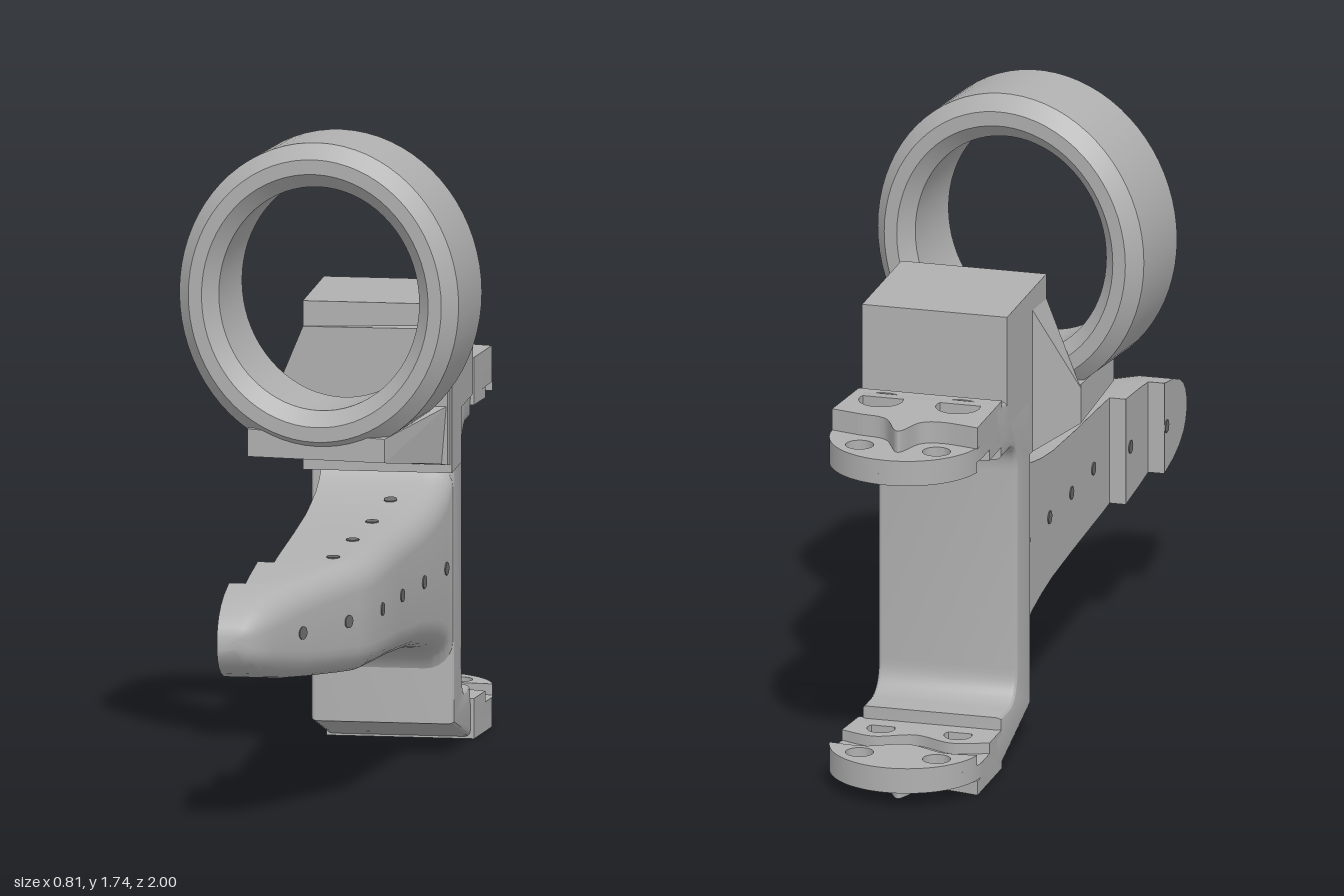
import * as THREE from 'three';
import { toCreasedNormals } from 'three/addons/utils/BufferGeometryUtils.js';
import { ConvexGeometry } from 'three/addons/geometries/ConvexGeometry.js';

const grey = new THREE.MeshStandardMaterial({ color: 0xb0b0b0 });
grey.name = 'plastic grey';
const dark = new THREE.MeshStandardMaterial({ color: 0x6c6c6c });
dark.name = 'hole grey';

const V = (x, y, z) => new THREE.Vector3(x, y, z);
const P = (x, y) => new THREE.Vector2(x, y);

function add(parent, name, geometry, material = grey) {
  const mesh = new THREE.Mesh(geometry, material);
  mesh.name = name;
  parent.add(mesh);
  return mesh;
}

function box(parent, name, x0, x1, y0, y1, z0, z1) {
  const g = new THREE.BoxGeometry(x1 - x0, y1 - y0, z1 - z0);
  g.translate((x0 + x1) / 2, (y0 + y1) / 2, (z0 + z1) / 2);
  add(parent, name, g);
}

const hull = (points) => new ConvexGeometry(points.map((p) => V(...p)));

// Chamfered oval ring, turned slightly about the vertical
function buildRing(group) {
  const profile = [[0.425, -0.11], [0.425, 0.11], [0.385, 0.15], [0.345, 0.15], [0.305, 0.11],
    [0.305, -0.11], [0.345, -0.15], [0.385, -0.15], [0.425, -0.11]].map((p) => P(...p));
  let g = new THREE.LatheGeometry(profile, 72);
  g.rotateX(Math.PI / 2);
  g.scale(0.92, 1, 1);
  g = toCreasedNormals(g, 0.5);
  const ring = add(group, 'ring', g);
  ring.position.y = 1.315;
  ring.rotation.y = -0.14;
}

// Block behind the ring, with the wedge and saddle that carry it
function buildMount(group) {
  box(group, 'mountBlock', -0.1, 0.305, 0.95, 1.26, -0.55, -0.165);
  box(group, 'mountBlockLower', -0.1, 0.305, 0.8, 0.95, -0.34, -0.165);
  add(group, 'mountWedge', hull([
    [-0.2, 0.85, -0.178], [-0.2, 0.95, -0.178], [-0.1, 1.19, -0.164],
    [0.3, 0.83, -0.12], [0.3, 1.2, -0.12],
    [-0.1, 0.8, -0.3], [-0.1, 1.2, -0.3], [0.3, 0.8, -0.3], [0.3, 1.2, -0.3]]));
  add(group, 'ringSaddle', hull([
    [-0.21, 0.88, 0.11], [-0.21, 0.955, 0.11], [0.17, 0.88, 0.16], [0.17, 0.945, 0.16],
    [-0.2, 0.85, -0.178], [-0.2, 0.96, -0.178], [0.3, 0.825, -0.165], [0.3, 0.99, -0.13]]));
}

// C-shaped upright, drawn from the side (u = -z) and extruded across
function buildFrame(group) {
  const s = new THREE.Shape();
  s.moveTo(0.33, 1.02);
  s.lineTo(0.31, 0.8);
  s.lineTo(0.31, 0.09);
  s.lineTo(0.62, 0);
  s.lineTo(0.66, 0);
  s.lineTo(0.66, 0.11);
  s.lineTo(0.61, 0.11);
  s.lineTo(0.61, 0.145);
  s.lineTo(0.53, 0.145);
  s.quadraticCurveTo(0.45, 0.145, 0.45, 0.23);
  s.lineTo(0.45, 0.79);
  s.quadraticCurveTo(0.45, 0.875, 0.53, 0.875);
  s.lineTo(0.61, 0.875);
  s.lineTo(0.61, 0.91);
  s.lineTo(0.66, 0.91);
  s.lineTo(0.66, 1.04);
  s.lineTo(0.63, 1.04);
  s.lineTo(0.55, 1.02);
  let g = new THREE.ExtrudeGeometry(s, {
    depth: 0.36, curveSegments: 10, bevelThickness: 0.015, bevelSize: 0.015, bevelOffset: -0.015, bevelSegments: 3,
  });
  g.rotateY(Math.PI / 2);
  g.translate(-0.085, 0, 0);
  g = toCreasedNormals(g, 0.5);
  add(group, 'uprightFrame', g);
}

// Layered plate outlines in (x, -z)
const CX = 0.11, CU = 0.79, CR = 0.21;
const FRONT_HOLES = [[0, 0.68], [0.215, 0.68]];
const REAR_HOLES = [[0, 0.89], [0.215, 0.89]];

function drill(shape, holes, r) {
  for (const [x, u] of holes) shape.holes.push(new THREE.Path().absarc(x, u, r, 0, Math.PI * 2, true));
  return shape;
}

function fullOutline() {
  const s = new THREE.Shape();
  s.moveTo(-0.1, 0.6);
  s.lineTo(0.3, 0.6);
  s.lineTo(CX + CR, CU);
  s.absarc(CX, CU, CR, 0, Math.PI, false);
  return drill(drill(s, FRONT_HOLES, 0.038), REAR_HOLES, 0.038);
}

function frontOutline(wave, holeRadius) {
  const s = new THREE.Shape();
  s.moveTo(-0.1, 0.6);
  s.lineTo(0.3, 0.6);
  s.lineTo(...wave[0]);
  s.splineThru(wave.slice(1).map((p) => P(...p)));
  return drill(s, FRONT_HOLES, holeRadius);
}

function rearOutline() {
  const s = new THREE.Shape();
  const a = 0.19;
  s.absarc(CX, CU, CR, a, Math.PI - a, false);
  s.splineThru([P(0, 0.835), P(CX, 0.79), P(0.215, 0.835), P(CX + CR * Math.cos(a), 0.83)]);
  return drill(s, REAR_HOLES, 0.038);
}

function layer(parent, name, shape, y0, y1) {
  let g = new THREE.ExtrudeGeometry(shape, { depth: y1 - y0, bevelEnabled: false, curveSegments: 24 });
  g.rotateX(-Math.PI / 2);
  g.translate(0, y0, 0);
  g = toCreasedNormals(g, 0.5);
  add(parent, name, g);
}

// Plate with four holes, a wavy pad outside and a groove inside
function buildPlate(group, name, outer, middle, inner) {
  const plate = new THREE.Group();
  plate.name = name;
  layer(plate, 'plateCore', fullOutline(), ...middle);
  layer(plate, 'platePad', frontOutline(
    [[0.32, 0.79], [0.24, 0.81], [0.16, 0.83], [0.1, 0.925], [0.06, 0.84], [0, 0.82], [-0.1, 0.84]], 0.06), ...outer);
  layer(plate, 'grooveFront', frontOutline(
    [[0.313, 0.72], [0.215, 0.75], [0.11, 0.71], [0, 0.75], [-0.1, 0.72]], 0.038), ...inner);
  layer(plate, 'grooveRear', rearOutline(), ...inner);
  group.add(plate);
}

// Tapering arm: rows of z, half height, right edge
const ARM_Y = 0.525;
const ARM = [[-0.34, 0.29, 0.285], [-0.31, 0.285, 0.285], [-0.295, 0.255, 0.282], [-0.26, 0.232, 0.28],
  [-0.2, 0.21, 0.272], [-0.1, 0.191, 0.26], [0, 0.178, 0.245], [0.2, 0.166, 0.22], [0.5, 0.153, 0.19],
  [0.56, 0.149, 0.161], [0.7, 0.137, 0.092], [0.78, 0.128, 0.053], [0.87, 0.112, 0.009],
  [0.93, 0.092, -0.02], [0.97, 0.068, -0.046], [0.99, 0.045, -0.07], [1, 0.02, -0.1]];
const armLeft = (z) => (z < 0.56 ? -0.07 : z < 0.78 ? -0.115 : -0.16);

function armAt(z) {
  const i = Math.max(1, ARM.findIndex((row) => row[0] >= z));
  const a = ARM[i - 1], b = ARM[i], t = (z - a[0]) / (b[0] - a[0]);
  return { h: a[1] + (b[1] - a[1]) * t, r: a[2] + (b[2] - a[2]) * t, slope: (b[2] - a[2]) / (b[0] - a[0]), rise: (b[1] - a[1]) / (b[0] - a[0]) };
}

function buildArm(group) {
  const sections = [];
  const section = (z, h, right, left) => {
    const f = Math.min(0.075, h * 0.7, (right - left) * 0.5);
    const pts = [V(left, ARM_Y - h, z)];
    for (const [side, start] of [[-1, -Math.PI / 2], [1, 0]]) {
      for (let k = 0; k <= 6; k++) {
        const a = start + (k / 6) * Math.PI / 2;
        pts.push(V(right - f + f * Math.cos(a), ARM_Y + side * (h - f) + f * Math.sin(a), z));
      }
    }
    pts.push(V(left, ARM_Y + h, z));
    sections.push(pts);
  };
  for (const [z, h, r] of ARM) {
    if (z === 0.56 || z === 0.78) section(z, h, r, armLeft(z - 0.01));
    section(z, h, r, armLeft(z));
  }
  const n = sections[0].length, tris = [];
  for (let i = 0; i < sections.length - 1; i++) {
    for (let j = 0; j < n; j++) {
      const k = (j + 1) % n;
      const a = sections[i][j], b = sections[i][k], c = sections[i + 1][k], d = sections[i + 1][j];
      tris.push(a, b, c, a, c, d);
    }
  }
  const tip = sections[sections.length - 1];
  for (let j = 1; j < n - 1; j++) tris.push(tip[0], tip[j], tip[j + 1]);
  const g = new THREE.BufferGeometry().setFromPoints(tris);
  add(group, 'arm', toCreasedNormals(g, 0.6));

  // Small pin holes along the sides, top and underside
  const pin = (p, normal) => {
    const m = add(group, 'pinHole', new THREE.CylinderGeometry(0.018, 0.018, 0.006, 16), dark);
    m.position.copy(p);
    m.quaternion.setFromUnitVectors(V(0, 1, 0), normal.normalize());
  };
  for (const z of [0.8, 0.605, 0.4, 0.185, -0.03, -0.245]) {
    const s = armAt(z);
    pin(V(s.r, ARM_Y, z), V(1, 0, -s.slope));
    pin(V(armLeft(z), ARM_Y, z), V(-1, 0, 0));
  }
  for (const [x, z] of [[0.08, 0.49], [0.1, 0.27], [0.12, 0.05], [0.14, -0.15]]) {
    const s = armAt(z);
    for (const k of [1, -1]) pin(V(x, ARM_Y + k * s.h, z), V(0, k, -s.rise));
  }
}

export function createModel() {
  const group = new THREE.Group();
  group.name = 'ringBracket';
  buildRing(group);
  buildMount(group);
  buildFrame(group);
  buildPlate(group, 'upperPlate', [0.98, 1.04], [0.94, 0.98], [0.91, 0.94]);
  buildPlate(group, 'lowerPlate', [0, 0.04], [0.04, 0.08], [0.08, 0.11]);
  buildArm(group);
  return group;
}
